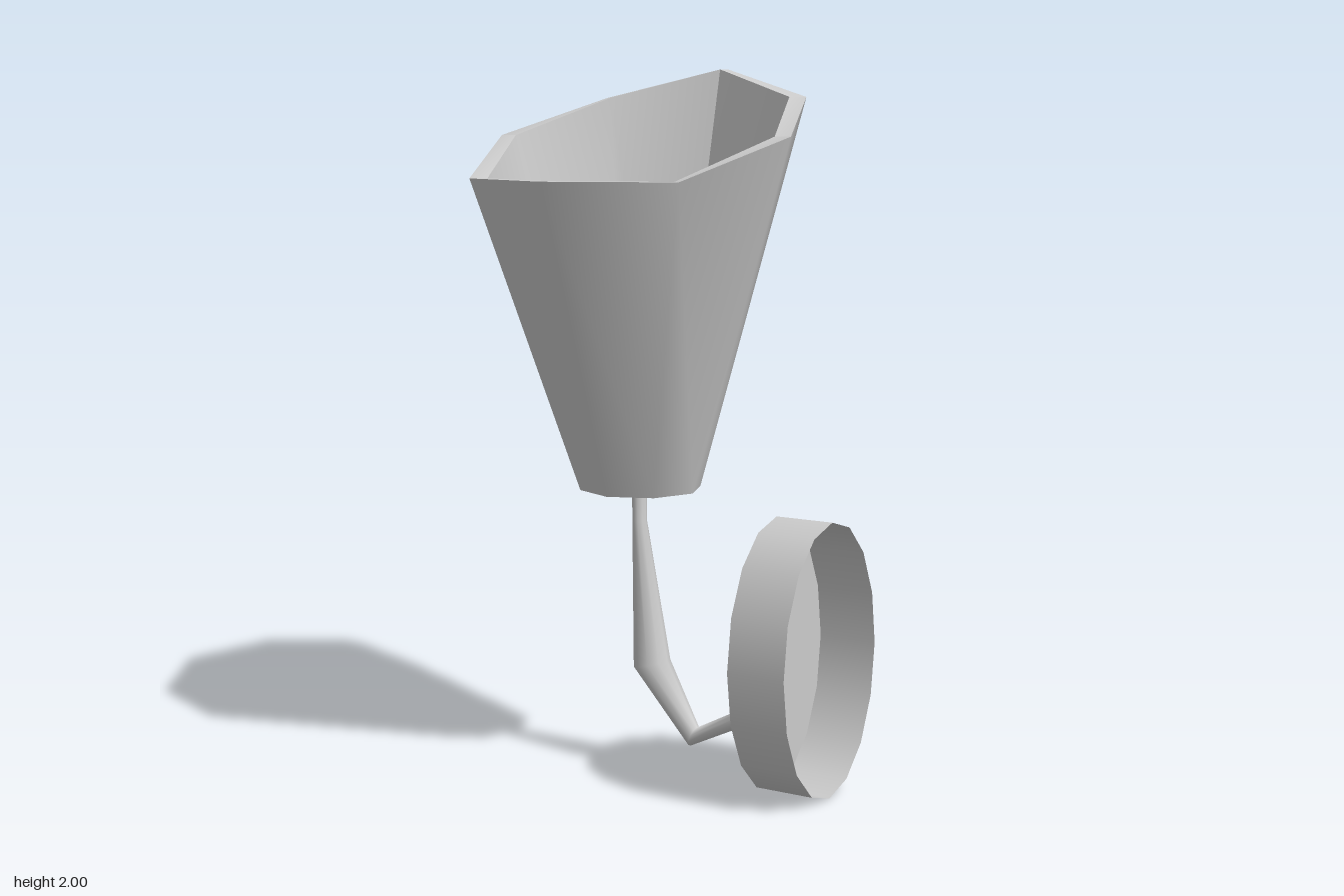
import * as THREE from 'three';

const material = new THREE.MeshStandardMaterial({ color: 0xcccccc, side: THREE.DoubleSide });

// Smooth skin over rows of points; closed rows wrap round to their first point
function loft(rows, closed = true) {
  const n = rows[0].length;
  const index = [];
  for (let i = 0; i < rows.length - 1; i++) {
    for (let j = 0; j < (closed ? n : n - 1); j++) {
      const k = (j + 1) % n;
      const a = i * n + j, b = i * n + k, c = a + n, d = b + n;
      index.push(a, b, c, b, d, c);
    }
  }
  const geometry = new THREE.BufferGeometry().setFromPoints(rows.flat());
  geometry.setIndex(index);
  geometry.computeVertexNormals();
  return geometry;
}

function add(group, name, geometry) {
  const mesh = new THREE.Mesh(geometry, material);
  mesh.name = name;
  group.add(mesh);
  return mesh;
}

// Octagonal flared shade with a slanted rim, open at both ends
function createShade() {
  const group = new THREE.Group();
  group.name = 'shade';
  group.position.x = -0.07;
  const rimHeights = [1.695, 1.695, 1.81, 1.918, 2, 1.918, 1.81, 1.695]; // from the front round
  const bottom = 0.815;
  const ring = (radius, height) => rimHeights.map((y, i) => {
    const t = (i * Math.PI) / 4;
    return new THREE.Vector3(radius * Math.sin(t), height ?? y, radius * Math.cos(t));
  });
  const outerTop = ring(0.48), innerTop = ring(0.43);
  const outerBottom = ring(0.175, bottom), innerBottom = ring(0.157, bottom);

  add(group, 'shadeOuterWall', loft([outerBottom, outerTop]));
  add(group, 'shadeBottomEdge', loft([innerBottom, outerBottom]));

  // The inner wall has creases at the back and at one side
  const part = (row, from, to) =>
    Array.from({ length: to - from + 1 }, (_, i) => row[(from + i) % 8].clone());
  for (const [from, to] of [[4, 6], [6, 12]]) {
    add(group, 'shadeInnerWall', loft([part(innerTop, from, to), part(innerBottom, from, to)], false));
  }
  // Flat facets of the rim
  for (let i = 0; i < 8; i++) {
    add(group, 'shadeRim', loft([part(outerTop, i, i + 1), part(innerTop, i, i + 1)], false));
  }
  return group;
}

// Bent arm, thickest at its knee
function createArm() {
  const group = new THREE.Group();
  group.name = 'arm';
  // centre x, centre y, half-width vector x, y, half-depth in z
  const sections = [
    [-0.075, 0.93, 0.021, 0, 0.021],
    [-0.074, 0.72, 0.021, 0.002, 0.021],
    [-0.032, 0.308, 0.052, 0.012, 0.054],
    [0.11, 0.112, 0.01, 0.028, 0.028],
    [0.278, 0.195, -0.013, 0.02, 0.023],
    [0.379, 0.395, -0.002, 0.03, 0.02],
  ];
  const sides = 10;
  const rows = sections.map(([x, y, ux, uy, rz]) =>
    Array.from({ length: sides }, (_, j) => {
      const t = (j / sides) * Math.PI * 2;
      return new THREE.Vector3(x + ux * Math.cos(t), y + uy * Math.cos(t), rz * Math.sin(t));
    }));
  const centre = ([x, y]) => Array.from({ length: sides }, () => new THREE.Vector3(x, y, 0));

  add(group, 'armTube', loft(rows));
  add(group, 'armTopCap', loft([centre(sections[0]), rows[0]]));
  add(group, 'armEndCap', loft([rows.at(-1), centre(sections.at(-1))]));
  return group;
}

// Oval wall plate: a shallow cup, open towards the wall
function createWallPlate() {
  const group = new THREE.Group();
  group.name = 'wallPlate';
  const face = 0.375, depth = 0.173, radiusY = 0.386, radiusZ = 0.262;
  group.position.set(face, 0.391, 0);
  group.scale.set(1, radiusY, radiusZ);
  add(group, 'plateSide', new THREE.CylinderGeometry(1, 1, depth, 16, 1, true)
    .rotateZ(Math.PI / 2).translate(depth / 2, 0, 0));
  add(group, 'plateFace', new THREE.CircleGeometry(1, 16).rotateY(-Math.PI / 2));
  return group;
}

export function createModel() {
  const model = new THREE.Group();
  model.name = 'wallLamp';
  model.add(createShade(), createArm(), createWallPlate());
  return model;
}
